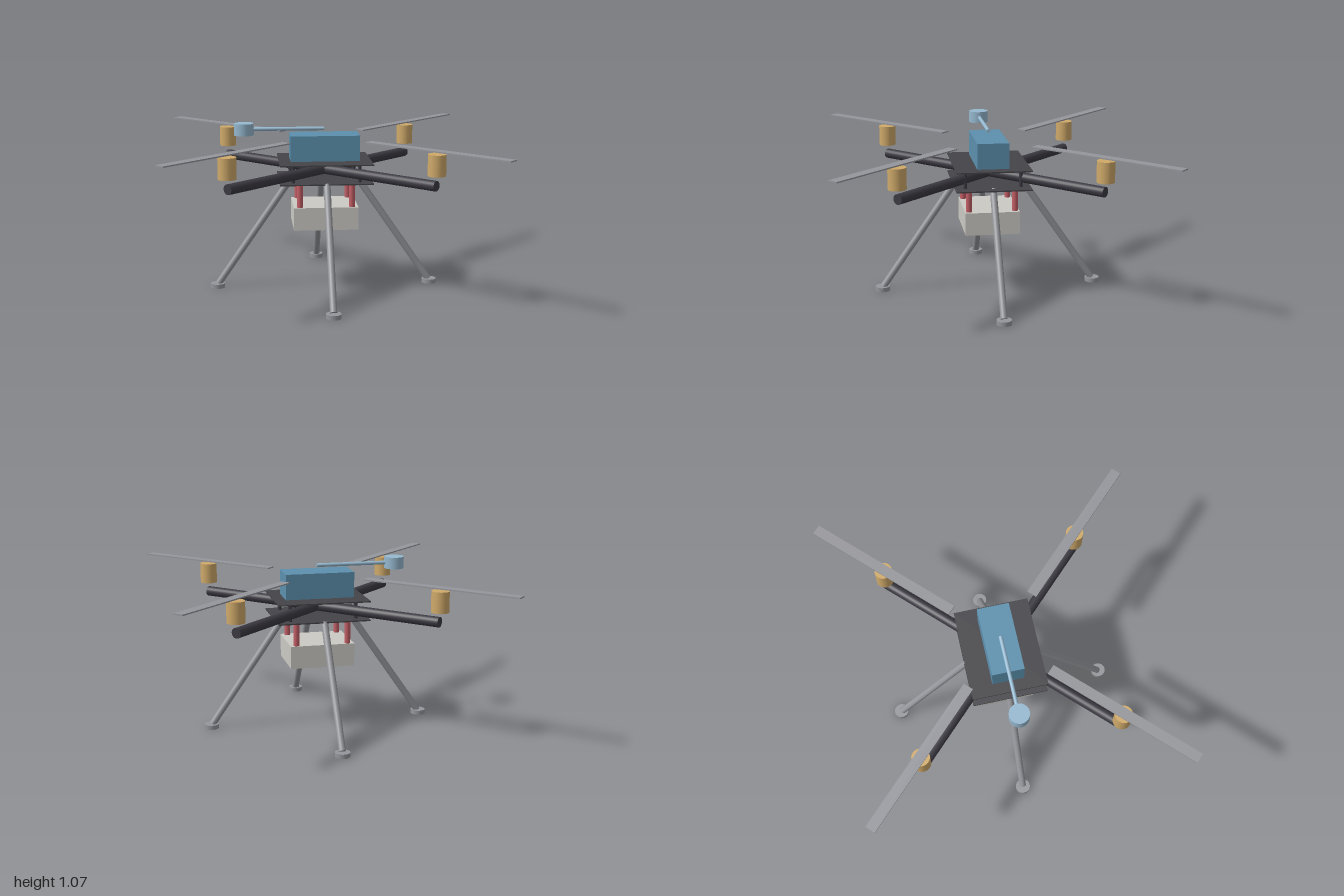
import * as THREE from 'three';

const mat = (name, color) => new THREE.MeshStandardMaterial({ name, color });

export function createModel() {
  const model = new THREE.Group();
  model.name = 'quadcopter';

  const grey = mat('grey metal', 0x95969b);
  const plateDark = mat('dark plate', 0x454549);
  const armDark = mat('dark tube', 0x3c3a42);
  const blue = mat('blue casing', 0x5c90ae);
  const paleBlue = mat('pale blue', 0x95b8cf);
  const brass = mat('brass', 0xd0aa6a);
  const red = mat('red', 0xc45f66);
  const cream = mat('off white', 0xcbcac4);

  const add = (name, geometry, material, x, y, z) => {
    const mesh = new THREE.Mesh(geometry, material);
    mesh.name = name;
    mesh.position.set(x, y, z);
    model.add(mesh);
    return mesh;
  };
  const box = (name, material, w, h, d, x, y, z) =>
    add(name, new THREE.BoxGeometry(w, h, d), material, x, y, z);
  const post = (name, material, r, y0, y1, x, z) =>
    add(name, new THREE.CylinderGeometry(r, r, y1 - y0, 24), material, x, (y0 + y1) / 2, z);

  // Cylinder between two points
  const rod = (name, material, r, from, to) => {
    const a = new THREE.Vector3(...from);
    const b = new THREE.Vector3(...to);
    const dir = b.clone().sub(a);
    const mid = a.clone().add(b).multiplyScalar(0.5);
    const mesh = add(name, new THREE.CylinderGeometry(r, r, dir.length(), 24), material, mid.x, mid.y, mid.z);
    mesh.quaternion.setFromUnitVectors(new THREE.Vector3(0, 1, 0), dir.normalize());
    return mesh;
  };

  // Frame plates, top casing and slung payload
  box('topPlate', plateDark, 0.586, 0.008, 0.474, 0, 0.834, 0);
  box('bottomPlate', plateDark, 0.586, 0.008, 0.474, 0, 0.714, 0);
  box('casing', blue, 0.44, 0.162, 0.2, 0, 0.919, 0);
  box('payload', cream, 0.41, 0.145, 0.346, 0, 0.482, 0);

  // Antenna mast and puck
  rod('mast', paleBlue, 0.012, [0, 1.035, 0], [-0.51, 1.035, 0]);
  post('antennaPuck', paleBlue, 0.063, 0.998, 1.073, -0.51, 0);

  // Parts repeated at the four corners
  for (const sx of [-1, 1]) {
    for (const sz of [-1, 1]) {
      const mx = sx * 0.615;
      const mz = sz * 0.615;
      rod('arm', armDark, 0.032, [0, 0.773, 0], [mx, 0.773, mz]);
      post('motor', brass, 0.055, 0.835, 0.965, mx, mz);
      const blade = box('rotorBlade', grey, 1.025, 0.008, 0.065, mx, 0.983, mz);
      blade.rotation.y = -sx * sz * Math.PI / 4;
      post('standoff', armDark, 0.012, 0.715, 0.835, sx * 0.21, sz * 0.175);
      post('payloadHanger', red, 0.019, 0.55, 0.712, sx * 0.165, sz * 0.147);
    }
  }

  // Splayed legs with round feet along both axes
  for (const [dx, dz] of [[1, 0], [-1, 0], [0, 1], [0, -1]]) {
    rod('leg', grey, 0.022, [dx * 0.217, 0.71, dz * 0.217], [dx * 0.687, 0.029, dz * 0.687]);
    post('foot', grey, 0.047, 0, 0.028, dx * 0.695, dz * 0.695);
  }

  return model;
}
